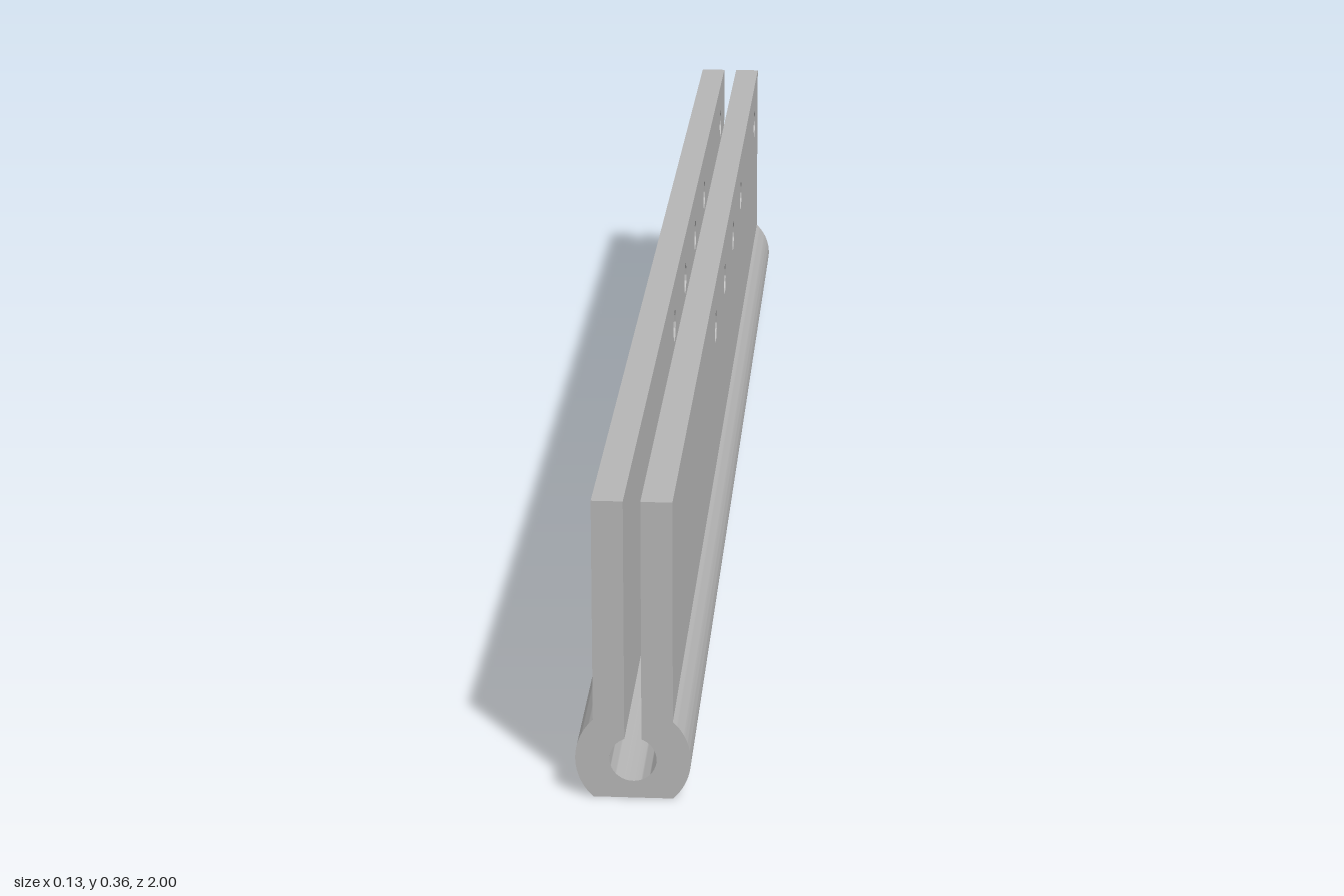
import * as THREE from 'three';
import { toCreasedNormals } from 'three/addons/utils/BufferGeometryUtils.js';

const LENGTH = 2, TOP = 0.363;
const OUTER = 0.0663, BORE = 0.027, CENTRE = 0.048; // clamp tube radii and axis height
const HALF = 0.0457, SLOT = 0.0098;                 // half widths of the body and the slot
const SEAM = CENTRE + Math.sqrt(OUTER ** 2 - HALF ** 2);
const HOLES = [0.177, -0.037, -0.25, -0.463, -0.89];

function extrude(shape, depth) {
  return new THREE.ExtrudeGeometry(shape, { depth, bevelEnabled: false, curveSegments: 32 });
}

// Round, flat-bottomed tube with a bore open to the slot above
function clampGeometry() {
  const a = Math.acos(HALF / OUTER), low = Math.asin(CENTRE / OUTER);
  const gap = Math.asin(SLOT / BORE);
  const s = new THREE.Shape();
  s.moveTo(HALF, SEAM);
  s.absarc(0, CENTRE, OUTER, a, -low, true);
  s.absarc(0, CENTRE, OUTER, Math.PI + low, Math.PI - a, true);
  s.lineTo(-SLOT, SEAM);
  s.absarc(0, CENTRE, BORE, Math.PI / 2 + gap, Math.PI * 2.5 - gap, false);
  s.lineTo(SLOT, SEAM);
  s.closePath();
  return toCreasedNormals(extrude(s, LENGTH).translate(0, 0, -LENGTH / 2), 0.5);
}

// Upright plate with a row of through holes, drawn in z and y
function flangeGeometry() {
  const h = LENGTH / 2;
  const s = new THREE.Shape();
  s.moveTo(-h, SEAM);
  s.lineTo(h, SEAM);
  s.lineTo(h, TOP);
  s.lineTo(-h, TOP);
  s.closePath();
  for (const z of HOLES) {
    s.holes.push(new THREE.Path().absarc(z, 0.3, 0.0214, 0, Math.PI * 2, true));
  }
  return toCreasedNormals(extrude(s, HALF - SLOT).rotateY(-Math.PI / 2), 0.5);
}

export function createModel() {
  const model = new THREE.Group();
  model.name = 'slottedClampRail';
  const metal = new THREE.MeshStandardMaterial({ color: 0xb4b4b4 });
  metal.name = 'grey metal';

  const clamp = new THREE.Mesh(clampGeometry(), metal);
  clamp.name = 'clampTube';
  model.add(clamp);

  const flange = flangeGeometry();
  for (const [name, x] of [['leftFlange', HALF], ['rightFlange', -SLOT]]) {
    const mesh = new THREE.Mesh(flange, metal);
    mesh.name = name;
    mesh.position.x = x;
    model.add(mesh);
  }
  return model;
}
